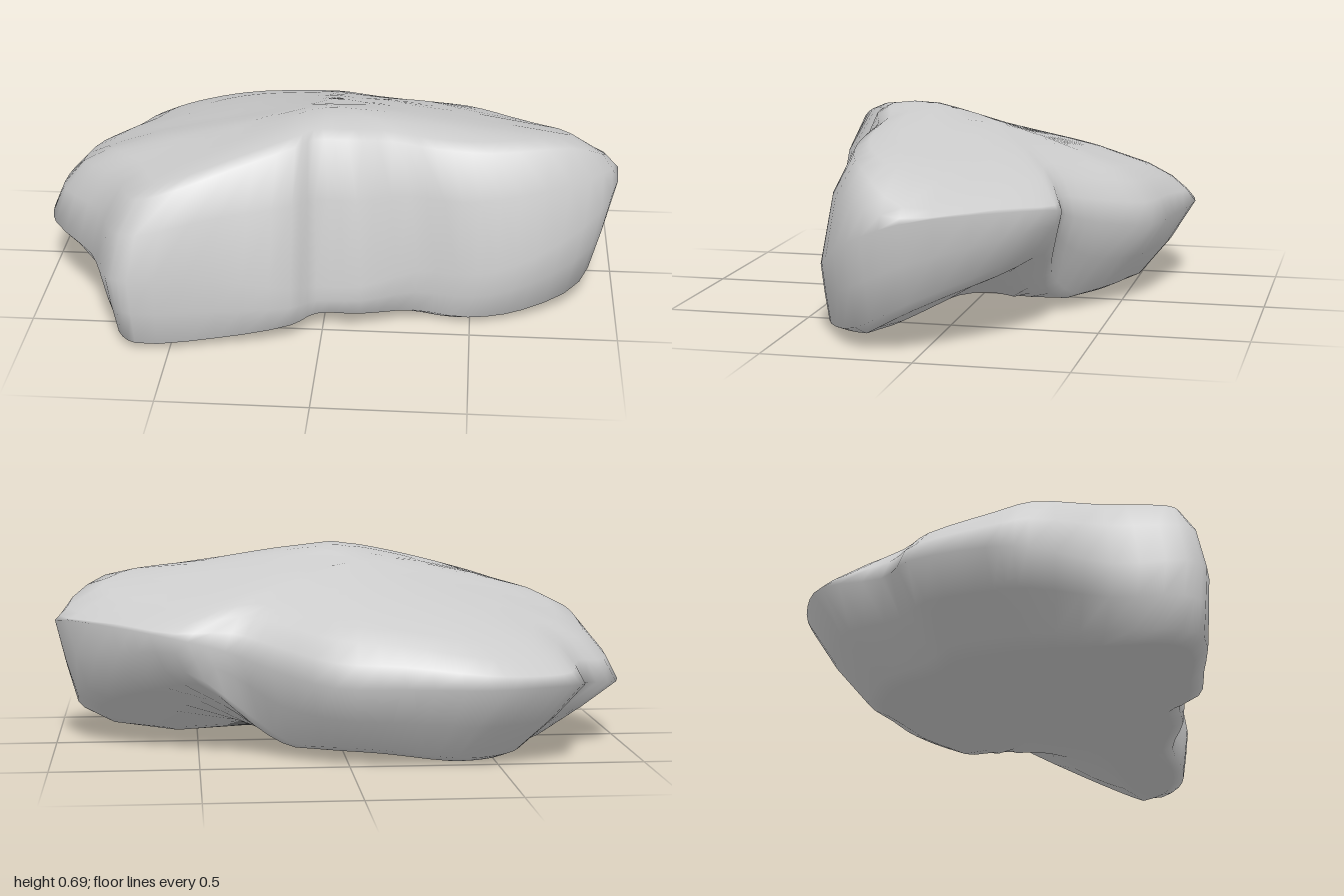
import * as THREE from 'three';
import { mergeVertices } from 'three/addons/utils/BufferGeometryUtils.js';

// Stations around the boulder: x, z of the widest outline, height of that
// widest point, inset of the foot and inset of the top shoulder (fractions).
const STATIONS = [
  [1.0, 0.04, 0.44, 0.07, 0.04], [0.94, 0.23, 0.36, 0.06, 0.11], [0.72, 0.38, 0.25, 0.05, 0.2],
  [0.52, 0.43, 0.2, 0.04, 0.25], [0.32, 0.42, 0.2, 0.03, 0.24], [0.13, 0.49, 0.17, 0.02, 0.26],
  [-0.02, 0.5, 0.17, 0.01, 0.25], [-0.1, 0.58, 0.2, 0.01, 0.28], [-0.35, 0.64, 0.25, 0.01, 0.2],
  [-0.63, 0.7, 0.27, 0.03, 0.15], [-0.71, 0.65, 0.26, 0.05, 0.13], [-0.8, 0.43, 0.23, 0.12, 0.13],
  [-0.97, 0.2, 0.23, 0.25, 0.13], [-1.0, 0.07, 0.23, 0.28, 0.13], [-0.97, -0.19, 0.23, 0.28, 0.13],
  [-0.84, -0.32, 0.25, 0.26, 0.12], [-0.77, -0.55, 0.28, 0.28, 0.12], [-0.63, -0.65, 0.29, 0.27, 0.11],
  [-0.45, -0.7, 0.29, 0.25, 0.11], [-0.17, -0.66, 0.29, 0.23, 0.11], [0.06, -0.61, 0.29, 0.22, 0.12],
  [0.26, -0.46, 0.33, 0.2, 0.12], [0.41, -0.37, 0.38, 0.14, 0.11], [0.6, -0.38, 0.43, 0.08, 0.09],
  [0.79, -0.24, 0.45, 0.06, 0.08],
];
const CX = -0.08, CZ = 0.04, STEPS = STATIONS.length * 3;

// Gently sloping crown, highest just ahead of the middle
const crown = (x, z) => 0.688 - 0.09 * Math.max(x, 0) - 0.4 * Math.max(x - 0.82, 0)
  - 0.25 * Math.max(-x, 0) ** 1.3 * (1 - 0.8 * Math.max(-z, 0))
  - 0.3 * Math.max(0.2 - z, 0) ** 1.2 + 0.008 * Math.sin(7 * x + 4 * z);

// Uneven underside; the narrow end overhangs, rising towards the back
const foot = (x, z) => 0.025 - 0.02 * Math.cos(6 * (x + 0.5)) + 0.1 * Math.max(x - 0.65, 0)
  + 0.52 * Math.max(0.2 - z, 0) * THREE.MathUtils.smoothstep(x, 0.15, 0.55);

// Move a station toward the centre
const inset = (x, z, f) => [x + (CX - x) * f, z + (CZ - z) * f];

// Smooth closed loop through one level of all the stations
function loop(place) {
  const curve = new THREE.CatmullRomCurve3(STATIONS.map(place), true, 'centripetal');
  return Array.from({ length: STEPS }, (_, i) => curve.getPoint(i / STEPS));
}

// Scaled copy of a loop, lifted onto a height rule
function shrink(ring, f, height) {
  return ring.map((p) => {
    const [x, z] = inset(p.x, p.z, 1 - f);
    return new THREE.Vector3(x, height(x, z), z);
  });
}

function boulderGeometry() {
  const base = loop(([x, z, , low]) => {
    const [a, b] = inset(x, z, low);
    return new THREE.Vector3(a, foot(a, b) + 0.02, b);
  });
  const lowerWall = loop(([x, z, y, low]) => {
    const [a, b] = inset(x, z, low * 0.45);
    const bottom = foot(a, b) + 0.02;
    return new THREE.Vector3(a, bottom + (y - bottom) * 0.48, b);
  });
  const waist = loop(([x, z, y]) => new THREE.Vector3(x, y, z));
  const upperWall = loop(([x, z, y, , top]) => {
    const [a, b] = inset(x, z, top * 0.36);
    return new THREE.Vector3(a, y + (crown(a, b) - 0.04 - y) * 0.64, b);
  });
  const shoulder = loop(([x, z, , , top]) => {
    const [a, b] = inset(x, z, top);
    return new THREE.Vector3(a, crown(a, b) - 0.032, b);
  });

  // Rings run from the middle of the underside, up the wall, to the crown
  const rings = [
    ...[0, 0.25, 0.5, 0.72, 0.92].map((f) => shrink(base, f, foot)),
    base, lowerWall, waist, upperWall, shoulder,
    ...[0.88, 0.65, 0.4, 0.2, 0].map((f) => shrink(shoulder, f, (x, z) => crown(x, z) - 0.025 * f ** 6)),
  ];

  const index = [];
  for (let j = 0; j < rings.length - 1; j++) {
    for (let i = 0; i < STEPS; i++) {
      const a = j * STEPS + i, b = j * STEPS + (i + 1) % STEPS;
      const c = a + STEPS, d = b + STEPS;
      if (j > 0) index.push(a, c, b);
      if (j < rings.length - 2) index.push(b, c, d);
    }
  }
  const geometry = new THREE.BufferGeometry().setFromPoints(rings.flat());
  geometry.setIndex(index);
  const merged = mergeVertices(geometry, 1e-5);
  merged.computeVertexNormals();
  return merged;
}

export function createModel() {
  const model = new THREE.Group();
  model.name = 'rock';
  const stone = new THREE.MeshStandardMaterial({ color: 0xcccccc });
  stone.name = 'grey stone';
  const boulder = new THREE.Mesh(boulderGeometry(), stone);
  boulder.name = 'boulder';
  model.add(boulder);
  return model;
}
